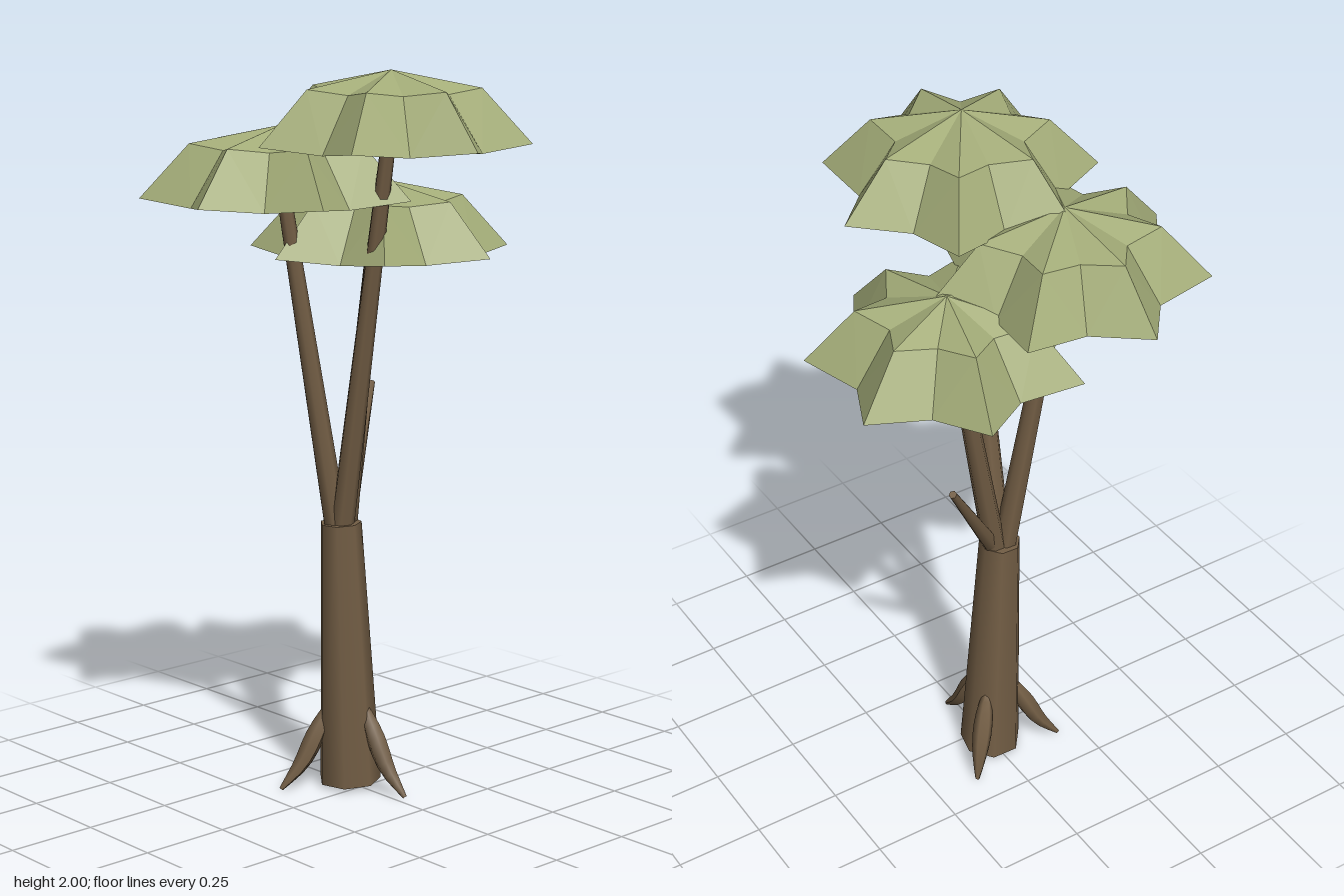
import * as THREE from 'three';

const bark = new THREE.MeshStandardMaterial({ color: 0x735e45 });
bark.name = 'bark';
const foliage = new THREE.MeshStandardMaterial({ color: 0xa3ac78, flatShading: true });
foliage.name = 'foliage';

const V = (p) => new THREE.Vector3(...p);

// Tapered straight limb between two points
function limb(name, from, to, r0, r1, sides) {
  const a = V(from), b = V(to);
  const dir = b.clone().sub(a);
  const mesh = new THREE.Mesh(new THREE.CylinderGeometry(r1, r0, dir.length(), sides), bark);
  mesh.position.copy(a).add(b).multiplyScalar(0.5);
  mesh.quaternion.setFromUnitVectors(new THREE.Vector3(0, 1, 0), dir.normalize());
  mesh.name = name;
  return mesh;
}

// Curved root: a tube whose rings swell in the middle and taper to both ends
function root(name, cx, cz, angle, reach) {
  const c = Math.cos(angle), s = Math.sin(angle);
  const at = (r, y) => new THREE.Vector3(cx + c * r, y, cz + s * r);
  const curve = new THREE.CatmullRomCurve3([at(0.05, 0.25), at(0.095, 0.16), at(0.14, 0.075), at(reach, 0.006)]);
  const segs = 8, sides = 6;
  const geo = new THREE.TubeGeometry(curve, segs, 1, sides);
  const pos = geo.attributes.position, v = new THREE.Vector3();
  for (let i = 0; i <= segs; i++) {
    const t = i / segs, centre = curve.getPointAt(t);
    const radius = 0.006 + 0.022 * Math.sin(Math.PI * Math.pow(t, 0.85));
    for (let j = 0; j <= sides; j++) {
      const k = i * (sides + 1) + j;
      v.fromBufferAttribute(pos, k).sub(centre).multiplyScalar(radius).add(centre);
      pos.setXYZ(k, v.x, v.y, v.z);
    }
  }
  geo.computeVertexNormals();
  const mesh = new THREE.Mesh(geo, bark);
  mesh.name = name;
  return mesh;
}

// Seven-pointed domed canopy: apex, shoulder ring, star rim, underside point
function canopy(name, [x, y, z], [ax, az], radius, firstAngle) {
  const n = 14, pts = [ax, 0.215, az];
  for (const [tipR, valleyR, tipY, valleyY] of [[0.64, 0.455, 0.168, 0.155], [1, 0.72, 0.024, 0.008]]) {
    for (let i = 0; i < n; i++) {
      const a = THREE.MathUtils.degToRad(firstAngle) + (i / n) * Math.PI * 2;
      const tip = i % 2 === 0;
      const r = radius * (tip ? tipR : valleyR);
      pts.push(Math.cos(a) * r, tip ? tipY : valleyY, Math.sin(a) * r);
    }
  }
  pts.push(0, 0, 0);
  const index = [], base = 1 + 2 * n;
  for (let i = 0; i < n; i++) {
    const j = (i + 1) % n;
    const a = 1 + i, b = 1 + j, c = a + n, d = b + n;
    index.push(0, b, a);
    // split each side panel along the same direction on both sides of a tip
    if (i % 2 === 0) index.push(a, b, d, a, d, c);
    else index.push(a, b, c, b, d, c);
    index.push(base, c, d);
  }
  const geo = new THREE.BufferGeometry();
  geo.setAttribute('position', new THREE.Float32BufferAttribute(pts, 3));
  geo.setIndex(index);
  const flat = geo.toNonIndexed();
  flat.computeVertexNormals();
  const mesh = new THREE.Mesh(flat, foliage);
  mesh.position.set(x, y, z);
  mesh.name = name;
  return mesh;
}

export function createModel() {
  const tree = new THREE.Group();
  tree.name = 'tree';

  // Trunk
  tree.add(limb('trunk', [0, 0.014, -0.048], [-0.025, 0.758, -0.056], 0.088, 0.058, 7));

  // Roots
  const roots = [[83, 0.205], [203, 0.2], [316, 0.168]];
  roots.forEach(([deg, reach], i) =>
    tree.add(root('root' + (i + 1), 0, -0.05, THREE.MathUtils.degToRad(deg), reach)));

  // Branches
  tree.add(limb('frontBranch', [-0.028, 0.7, -0.055], [-0.035, 1.82, 0.145], 0.034, 0.02, 7));
  tree.add(limb('backBranch', [-0.03, 0.7, -0.06], [-0.16, 1.68, -0.135], 0.034, 0.02, 7));
  tree.add(limb('sideBranch', [-0.015, 0.7, -0.055], [0.155, 1.52, -0.118], 0.034, 0.021, 7));
  tree.add(limb('bareBranch', [-0.02, 0.72, -0.045], [0.207, 1.105, -0.185], 0.027, 0.011, 6));

  // Canopies
  tree.add(canopy('frontCanopy', [-0.035, 1.785, 0.155], [-0.014, 0.014], 0.367, 97));
  tree.add(canopy('backCanopy', [-0.153, 1.63, -0.158], [0.003, 0.006], 0.372, 267));
  tree.add(canopy('sideCanopy', [0.167, 1.468, -0.106], [0.014, -0.018], 0.367, -23.5));

  return tree;
}
